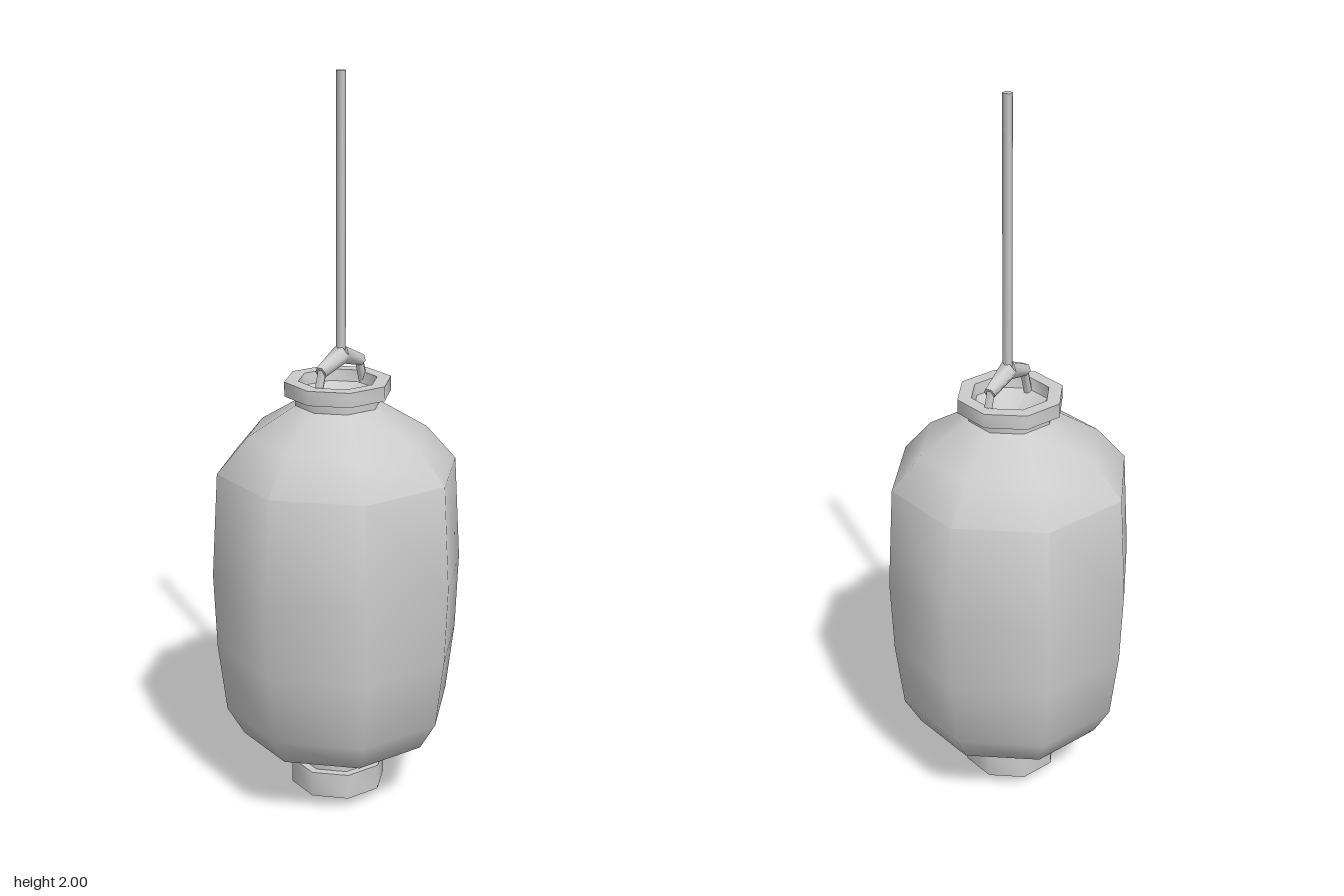
import * as THREE from 'three';
import { toCreasedNormals } from 'three/addons/utils/BufferGeometryUtils.js';

const SIDES = 8;
const TURN = THREE.MathUtils.degToRad(37.5);

export function createModel() {
  const group = new THREE.Group();
  const material = new THREE.MeshStandardMaterial({ color: 0xcccccc });

  const add = (parent, name, geometry) => {
    const mesh = new THREE.Mesh(geometry, material);
    mesh.name = name;
    parent.add(mesh);
    return mesh;
  };

  // Eight-sided turned part; profile runs bottom to top as [radius, height]
  const turned = (name, profile) => {
    const points = profile.map(([r, y]) => new THREE.Vector2(r, y));
    const geometry = new THREE.LatheGeometry(points, SIDES, TURN);
    return add(group, name, toCreasedNormals(geometry, 0.85));
  };

  // Tapered round bar between two points
  const strut = (parent, name, a, b, ra, rb, sides) => {
    const from = new THREE.Vector3(...a), to = new THREE.Vector3(...b);
    const dir = to.clone().sub(from);
    const geometry = new THREE.CylinderGeometry(rb, ra, dir.length(), sides);
    const mesh = add(parent, name, toCreasedNormals(geometry, 1.1));
    mesh.position.copy(from).add(to).multiplyScalar(0.5);
    mesh.quaternion.setFromUnitVectors(new THREE.Vector3(0, 1, 0), dir.normalize());
    return mesh;
  };

  // Bulging body with a neck at each end
  turned('body', [
    [0.11, 0.09], [0.11, 0.135], [0.267, 0.2], [0.313, 0.28], [0.336, 0.47],
    [0.344, 0.68], [0.327, 0.965], [0.245, 1.06], [0.115, 1.14], [0.115, 1.175],
  ]);

  // Foot cap with a shallow pointed underside
  turned('bottomCap', [[0, 0], [0.132, 0.033], [0.132, 0.105], [0, 0.105]]);

  // Top collar with a bowl-shaped opening
  turned('topCollar', [
    [0.11, 1.167], [0.144, 1.167], [0.144, 1.206], [0.106, 1.206],
    [0.1, 1.175], [0, 1.12],
  ]);

  // Carrying loop: thin legs and a thicker peaked crown
  const handle = new THREE.Group();
  handle.name = 'handle';
  handle.position.x = 0.008;
  handle.rotation.y = THREE.MathUtils.degToRad(33);
  group.add(handle);
  for (const s of [-1, 1]) {
    strut(handle, 'handleLeg', [s * 0.104, 1.165, 0], [s * 0.078, 1.25, 0], 0.012, 0.012, 6);
    strut(handle, 'handleCrown', [s * 0.087, 1.24, 0], [0, 1.272, 0], 0.017, 0.026, 6);
  }

  // Hanging rod
  strut(group, 'hangingRod', [0.008, 1.27, 0], [0.008, 2, 0], 0.013, 0.013, 6);

  return group;
}
